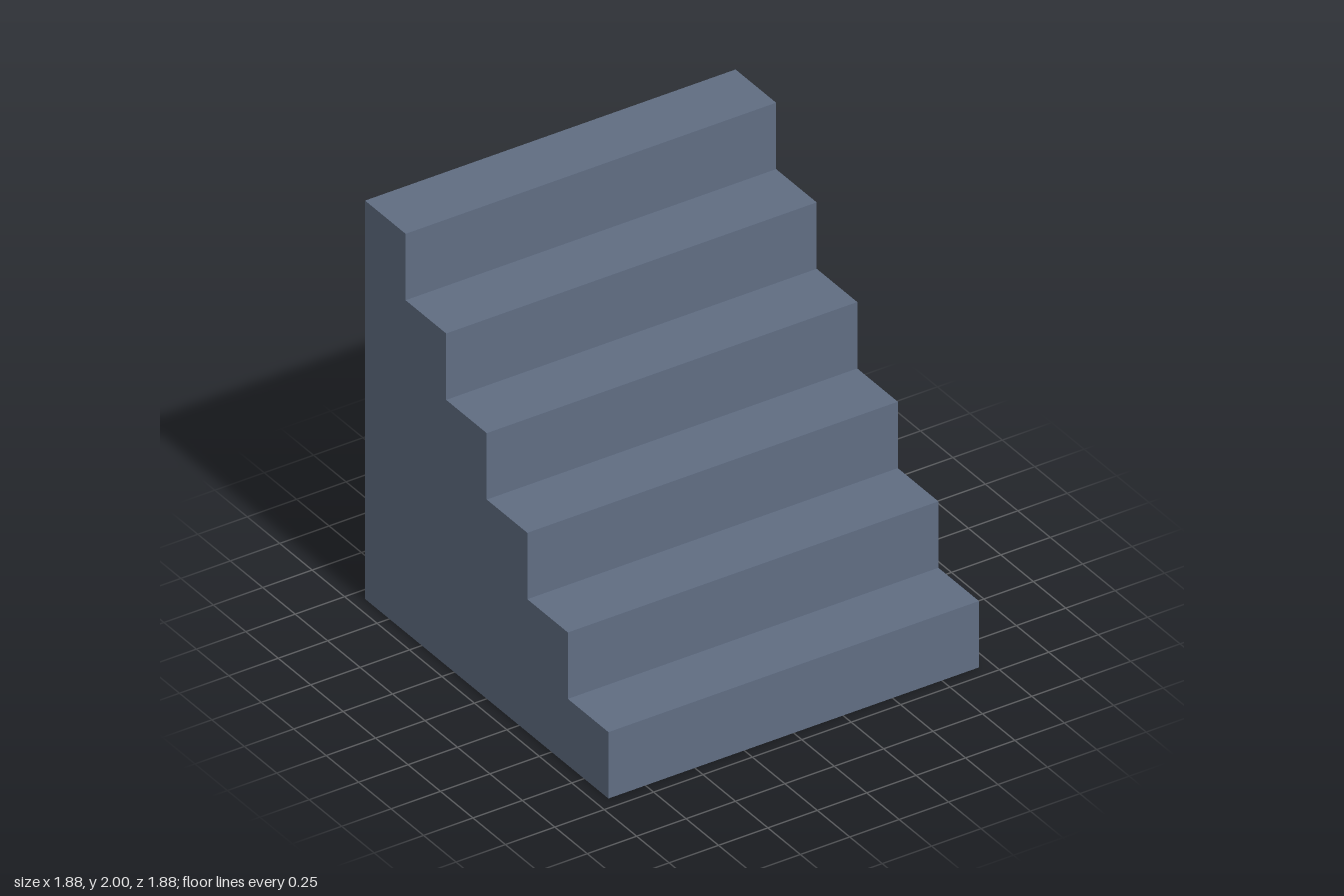
import * as THREE from 'three';

const STEPS = 6;
const WIDTH = 1.875;
const DEPTH = 1.875;
const HEIGHT = 2;

export function createModel() {
  const group = new THREE.Group();
  group.name = 'staircase';

  const slate = new THREE.MeshStandardMaterial({ color: 0x606d82 });
  slate.name = 'slate blue grey';

  // Side profile: x runs from back to front, y is up
  const tread = DEPTH / STEPS;
  const riser = HEIGHT / STEPS;
  const profile = new THREE.Shape();
  profile.moveTo(-DEPTH / 2, 0);
  profile.lineTo(DEPTH / 2, 0);
  for (let i = 0; i < STEPS; i++) {
    const front = DEPTH / 2 - i * tread;
    const top = (i + 1) * riser;
    profile.lineTo(front, top); // riser
    profile.lineTo(front - tread, top); // tread
  }
  profile.closePath();

  // Solid flight of steps, extruded across the width and turned to face +z
  const geometry = new THREE.ExtrudeGeometry(profile, { depth: WIDTH, bevelEnabled: false });
  geometry.translate(0, 0, -WIDTH / 2);
  geometry.rotateY(-Math.PI / 2);

  const steps = new THREE.Mesh(geometry, slate);
  steps.name = 'solidSteps';
  group.add(steps);
  return group;
}
